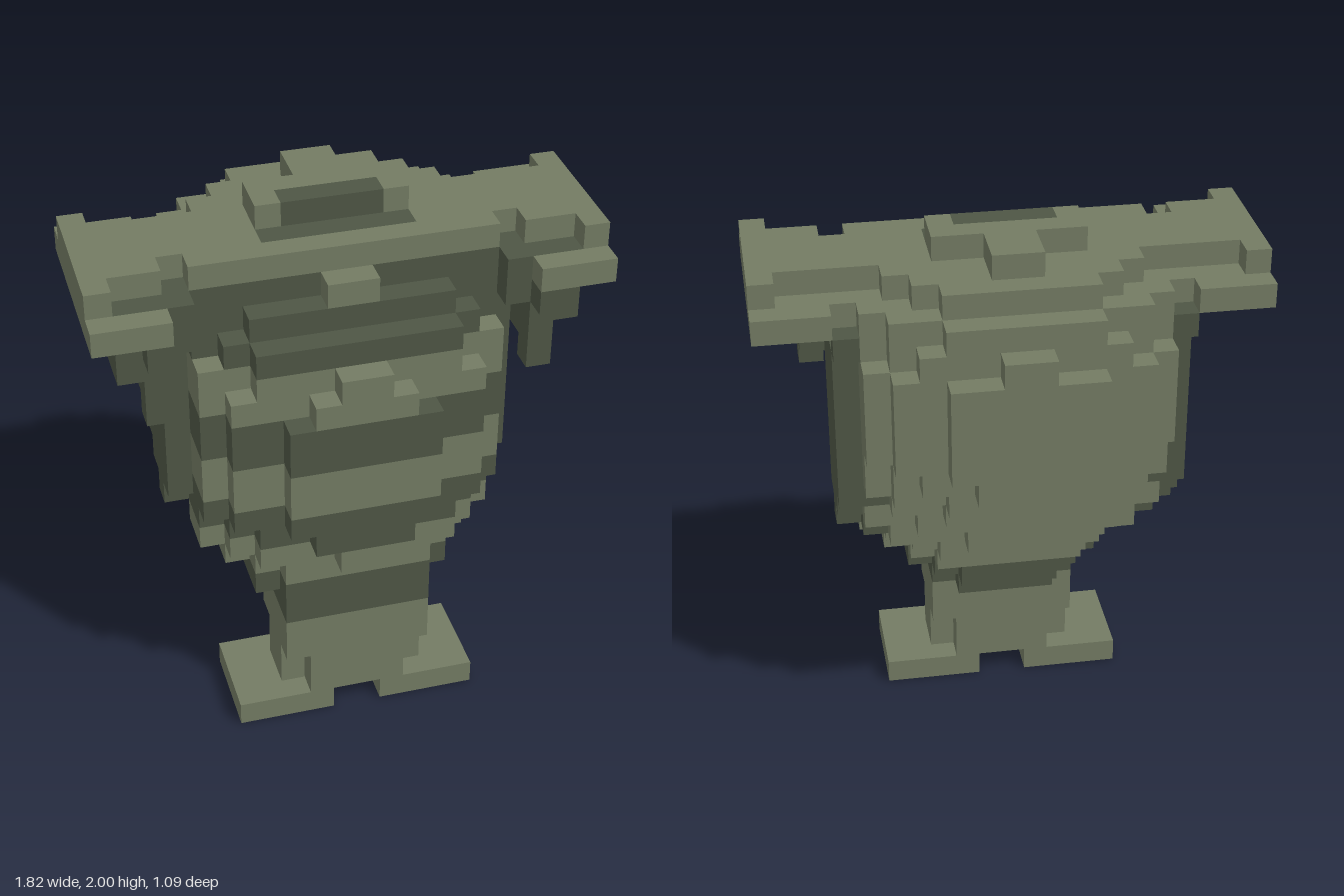
import * as THREE from 'three';

const U = 1 / 11; // edge of one cube
const light = new THREE.MeshStandardMaterial({ color: 0x737b63 });
light.name = 'pale olive';
const dark = new THREE.MeshStandardMaterial({ color: 0x4e5645 });
dark.name = 'deep olive';

// Half widths of each layer, one digit per row from back (z = -6) to front (z = 5)
const stemRows = {
  1: '000000023320', 2: '000000023320', 3: '000000033330',
  4: '000000033330', 5: '000000233330',
};
const bodyRows = {
  6: '000002344430', 7: '000003455430', 8: '000034566541',
  9: '000256766542', 10: '000467776653', 11: '003577776653',
  12: '035677776653', 13: '245677776653', 14: '356677776653',
  15: '356677776652', 16: '356677776641', 17: '356677776540',
  18: '145766666400', 19: '035666666100',
};
const brimRows = { 20: '003450000000' };
const crestRows = { 21: '000113300000' };

// Mirrored boxes: [x0, x1, y0, y1, z0, z1], x measured outwards
const footBoxes = [[1, 5, 0, 1, 1, 5]];
const armBoxes = [
  [6, 7, 19, 20, -2, 4], [7, 10, 19, 20, -3, 5],
  [6, 9, 18, 19, 0, 4], [7, 8, 18, 19, 4, 5],
  [7, 9, 17, 18, 1, 4], [7, 8, 16, 17, 2, 4], [7, 8, 15, 16, 3, 4],
];
// The brim has a one-cube notch in its front edge on each side
const brimBoxes = [
  [0, 9, 20, 21, -1, 2], [0, 6, 20, 21, 2, 3],
  [7, 9, 20, 21, 2, 3], [9, 10, 20, 21, -2, 4],
];

const key = (x, y, z) => `${x},${y},${z}`;
const outward = (x) => (x < 0 ? -x - 1 : x);

function cellsFrom(rows, boxes = []) {
  const cells = new Map();
  const add = (x, y, z) => {
    cells.set(key(x, y, z), [x, y, z]);
    cells.set(key(-x - 1, y, z), [-x - 1, y, z]);
  };
  for (const [y, row] of Object.entries(rows))
    [...row].forEach((digit, i) => {
      for (let x = 0; x < Number(digit); x++) add(x, Number(y), i - 6);
    });
  for (const [x0, x1, y0, y1, z0, z1] of boxes)
    for (let x = x0; x < x1; x++)
      for (let y = y0; y < y1; y++)
        for (let z = z0; z < z1; z++) add(x, y, z);
  return cells;
}

// Painted bands: striped front, dark flanks, pale back
function isDark(x, y, z) {
  const ax = outward(x);
  if (y === 21) return z === 0 && ax < 2;
  if (y === 20) return z === 1 && ax < 3;
  if (y === 19) return z >= -1 && z < 4 && ax < 9 && !(z === 3 && ax < 1);
  if (y === 5 || y === 6) return true;
  if (y < 9) return false;
  if (y === 18 && ax === 6) return true;
  if (z < (y < 11 ? -1 : -2)) return false;
  if (ax >= 6 || z < 2) return true;
  return [9, 10, 13, 14, 17, 18].includes(y);
}

// Surface of a set of cubes, leaving out faces hidden by any neighbour
function cubesMesh(name, cells, filled) {
  const faces = { light: [], dark: [] };
  for (const [x, y, z] of cells.values()) {
    const list = isDark(x, y, z) ? faces.dark : faces.light;
    for (let axis = 0; axis < 3; axis++)
      for (const side of [-1, 1]) {
        const next = [x, y, z];
        next[axis] += side;
        if (filled.has(key(...next))) continue;
        const b = (axis + 1) % 3, c = (axis + 2) % 3;
        const corner = (u, v) => {
          const p = [x, y, z];
          p[axis] += side > 0 ? 1 : 0;
          p[b] += u;
          p[c] += v;
          return p.map((n) => n * U);
        };
        const q = [corner(0, 0), corner(1, 0), corner(1, 1), corner(0, 1)];
        if (side < 0) q.reverse();
        for (const i of [0, 1, 2, 0, 2, 3]) list.push(...q[i]);
      }
  }
  const geometry = new THREE.BufferGeometry();
  const points = faces.light.concat(faces.dark);
  geometry.setAttribute('position', new THREE.Float32BufferAttribute(points, 3));
  geometry.computeVertexNormals();
  geometry.addGroup(0, faces.light.length / 3, 0);
  geometry.addGroup(faces.light.length / 3, faces.dark.length / 3, 1);
  const mesh = new THREE.Mesh(geometry, [light, dark]);
  mesh.name = name;
  return mesh;
}

export function createModel() {
  const parts = {
    feet: cellsFrom({}, footBoxes),
    stem: cellsFrom(stemRows),
    body: cellsFrom(bodyRows),
    arms: cellsFrom({}, armBoxes),
    brim: cellsFrom(brimRows, brimBoxes),
    crest: cellsFrom(crestRows),
  };
  const filled = new Set();
  for (const cells of Object.values(parts))
    for (const k of cells.keys()) filled.add(k);

  const model = new THREE.Group();
  model.name = 'cubeFigure';
  for (const [name, cells] of Object.entries(parts))
    model.add(cubesMesh(name, cells, filled));
  return model;
}
